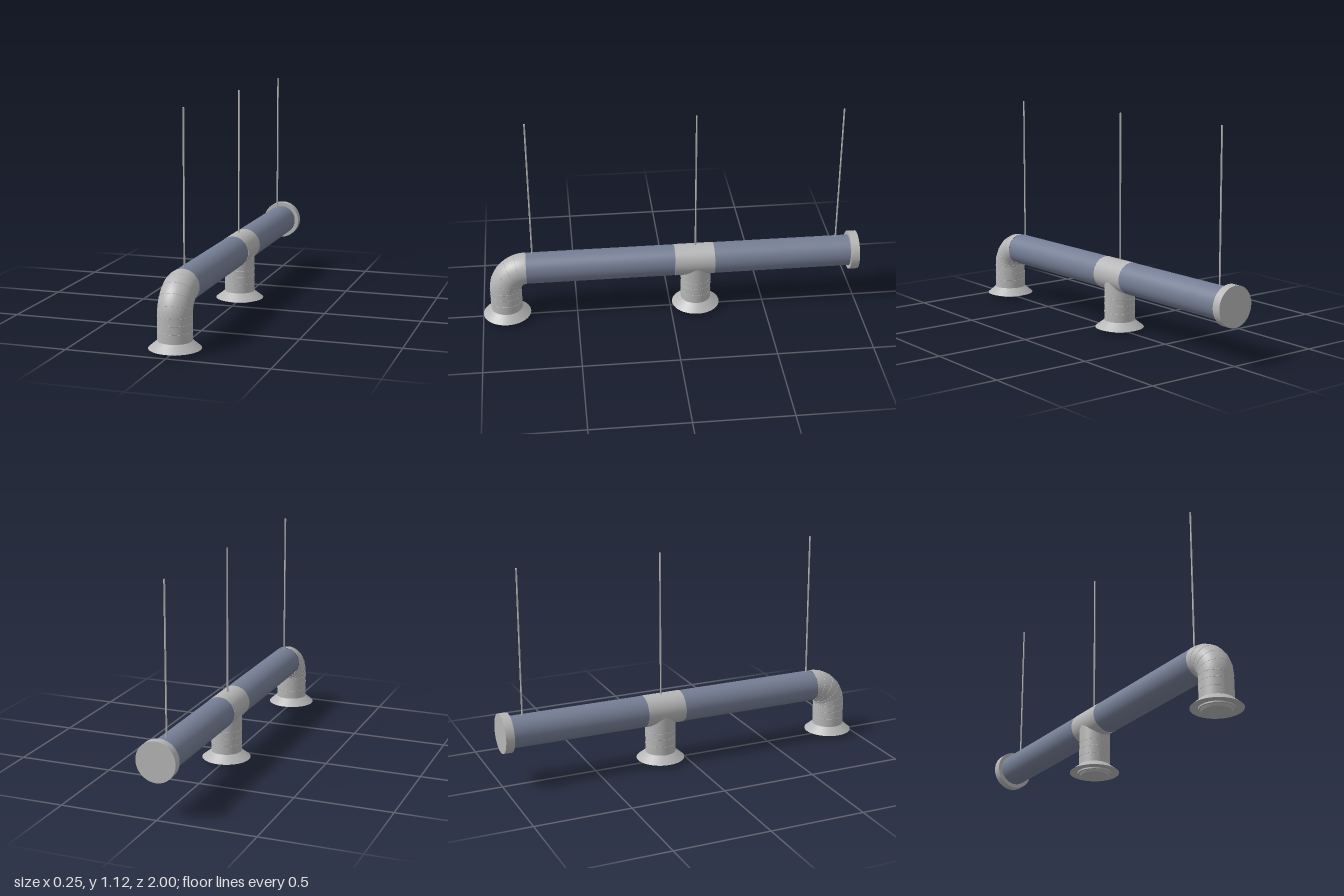
import * as THREE from 'three';

const PIPE_Y = 0.287, BEND = 0.113, ELBOW_Z = 0.873, TEE_Z = -0.136;

export function createModel() {
  const root = new THREE.Group();
  root.name = 'ventDuct';
  const grey = new THREE.MeshStandardMaterial({ color: 0xb6b6b6 });
  grey.name = 'fitting grey';
  const blue = new THREE.MeshStandardMaterial({ color: 0x757e95 });
  blue.name = 'duct blue grey';

  const add = (parent, name, geo, mat, x = 0, y = 0, z = 0) => {
    const m = new THREE.Mesh(geo, mat);
    m.name = name;
    m.position.set(x, y, z);
    parent.add(m);
    return m;
  };
  // Horizontal cylinder between two z positions
  const run = (name, r, z0, z1, mat) =>
    add(root, name, new THREE.CylinderGeometry(r, r, Math.abs(z1 - z0), 48).rotateX(Math.PI / 2),
      mat, 0, PIPE_Y, (z0 + z1) / 2);

  // Duct runs, tee sleeve and end cap
  run('frontDuct', 0.082, 0.76, -0.02, blue);
  run('rearDuct', 0.082, -0.22, -0.96, blue);
  run('teeSleeve', 0.083, -0.022, -0.23, grey);
  run('endCap', 0.102, -0.955, -1, grey);

  // Vertical outlet: leg, fine seams, flared skirt and stepped diffuser plates
  const outlet = (name, z, r, top) => {
    const g = new THREE.Group();
    g.name = name;
    g.position.z = z;
    root.add(g);
    add(g, 'leg', new THREE.CylinderGeometry(r, r, top - 0.04, 48), grey, 0, (top + 0.04) / 2, 0);
    for (const y of [0.1, 0.14, 0.175]) {
      add(g, 'seam', new THREE.TorusGeometry(r, 0.0012, 6, 48).rotateX(Math.PI / 2), grey, 0, y, 0);
    }
    add(g, 'skirt', new THREE.CylinderGeometry(r, 0.126, 0.037, 48), grey, 0, 0.0365, 0);
    add(g, 'upperPlate', new THREE.CylinderGeometry(0.086, 0.086, 0.008, 48), grey, 0, 0.015, 0);
    add(g, 'lowerPlate', new THREE.CylinderGeometry(0.078, 0.07, 0.012, 48), grey, 0, 0.006, 0);
  };
  outlet('elbowOutlet', ELBOW_Z, 0.083, PIPE_Y - BEND);
  outlet('teeOutlet', TEE_Z, 0.079, PIPE_Y);

  // Quarter-turn elbow joining the front outlet to the duct
  const elbow = new THREE.Group();
  elbow.name = 'elbow';
  elbow.position.set(0, PIPE_Y - BEND, ELBOW_Z - BEND);
  elbow.rotation.y = -Math.PI / 2;
  root.add(elbow);
  add(elbow, 'bend', new THREE.TorusGeometry(BEND, 0.083, 48, 24, Math.PI / 2), grey);
  for (let i = 1; i < 5; i++) {
    const a = (i / 5) * Math.PI / 2;
    const seam = new THREE.TorusGeometry(0.083, 0.0012, 6, 48).rotateX(Math.PI / 2)
      .translate(BEND, 0, 0).rotateZ(a);
    add(elbow, 'bendSeam', seam, grey);
  }

  // Hanging rods
  for (const z of [0.725, -0.134, -0.885]) {
    add(root, 'hangerRod', new THREE.CylinderGeometry(0.0045, 0.0045, 0.765, 10), grey, -0.005, 0.7425, z);
  }
  return root;
}
